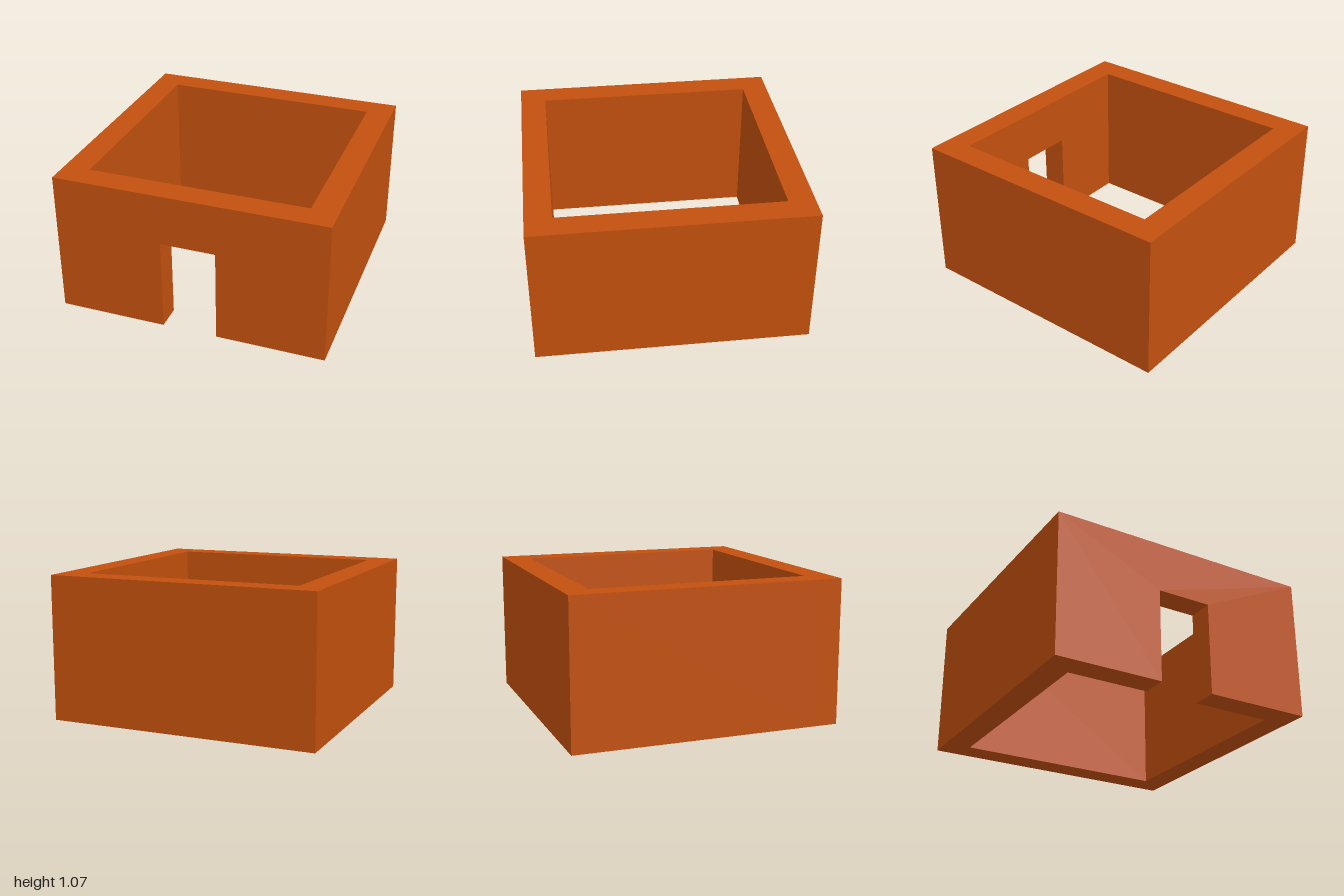
import * as THREE from 'three';

const W = 1, D = 0.995;          // outer half width and half depth
const IW = 0.807, ID = 0.804;    // inner half width and half depth
const H = 1.067;                 // wall height
const DOOR_W = 0.203, DOOR_H = 0.69;

const outline = (points) => new THREE.Shape(points.map(([x, y]) => new THREE.Vector2(x, y)));

export function createModel() {
  const model = new THREE.Group();
  model.name = 'roomWalls';
  const clay = new THREE.MeshStandardMaterial({ color: 0xc2500e });
  clay.name = 'burntOrange';

  const addWall = (name, points, depth) => {
    const geometry = new THREE.ExtrudeGeometry(outline(points), { depth, bevelEnabled: false });
    const mesh = new THREE.Mesh(geometry, clay);
    mesh.name = name;
    model.add(mesh);
    return mesh;
  };

  // Front wall with a doorway open at the floor
  const front = addWall('frontWall', [
    [-W, 0], [-DOOR_W, 0], [-DOOR_W, DOOR_H], [DOOR_W, DOOR_H],
    [DOOR_W, 0], [W, 0], [W, H], [-W, H],
  ], D - ID);
  front.position.z = ID;

  // Side and back walls as one U-shaped plan, raised to full height
  const sides = addWall('sideAndBackWalls', [
    [-W, -ID], [-IW, -ID], [-IW, ID], [IW, ID],
    [IW, -ID], [W, -ID], [W, D], [-W, D],
  ], H);
  sides.rotation.x = -Math.PI / 2;

  return model;
}
